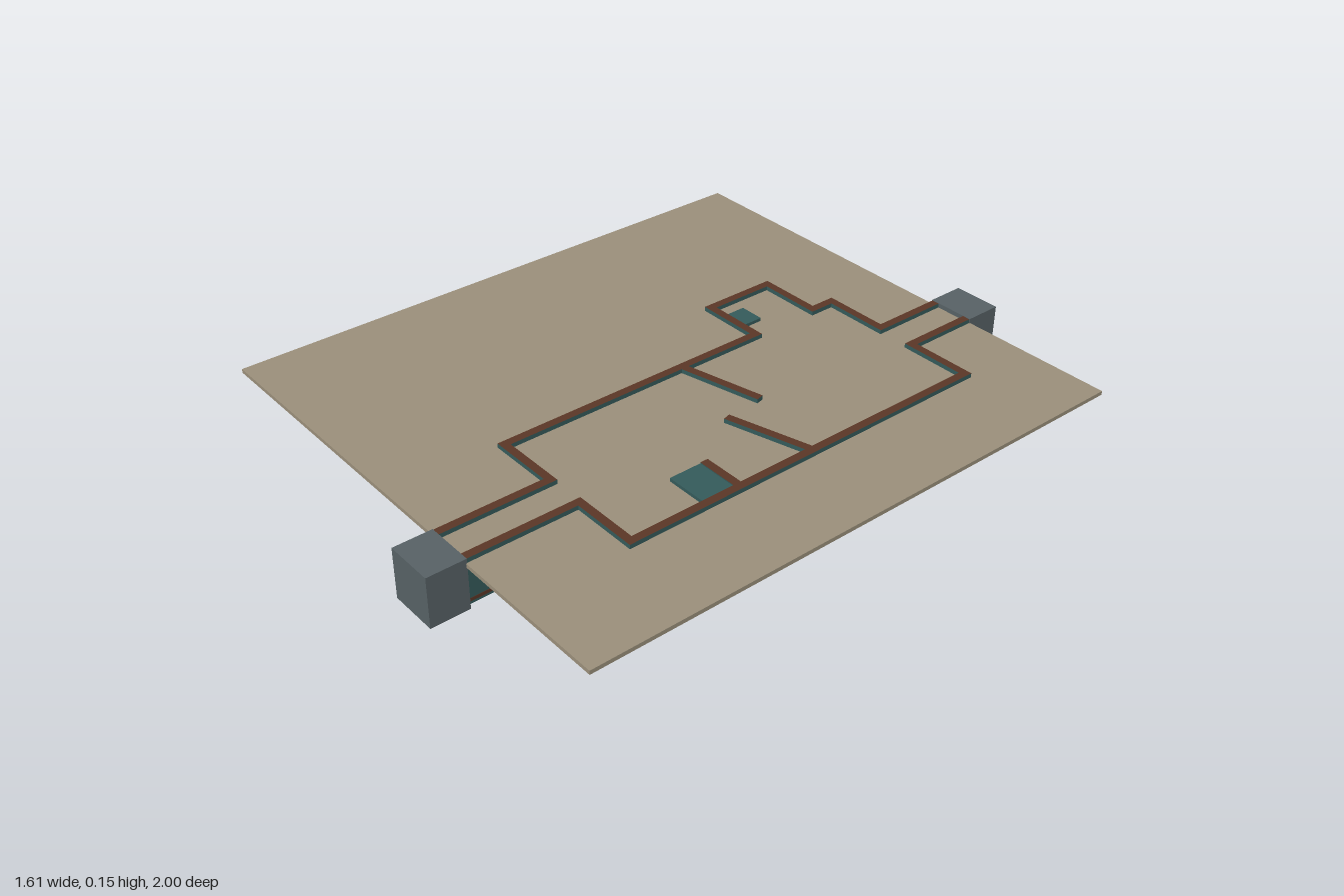
import * as THREE from 'three';

const THICK = 0.025, TOP = 0.153, BASE = 0.014;

function flat(name, color) {
  const m = new THREE.MeshStandardMaterial({ color });
  m.name = name;
  return m;
}

// Mitred outline of constant thickness around an open polyline in plan (x, z)
function ribbon(points) {
  const p = points.map(([x, z]) => new THREE.Vector2(x, z));
  const left = [], right = [];
  p.forEach((pt, i) => {
    const a = pt.clone().sub(p[Math.max(i - 1, 0)]).normalize();
    const b = p[Math.min(i + 1, p.length - 1)].clone().sub(pt).normalize();
    if (i === 0) a.copy(b);
    if (i === p.length - 1) b.copy(a);
    const n1 = new THREE.Vector2(-a.y, a.x), n2 = new THREE.Vector2(-b.y, b.x);
    const miter = n1.clone().add(n2).normalize();
    miter.multiplyScalar(THICK / 2 / miter.dot(n1));
    left.push(pt.clone().add(miter));
    right.unshift(pt.clone().sub(miter));
  });
  return new THREE.Shape([...left, ...right]);
}

export function createModel() {
  const group = new THREE.Group();
  const sand = flat('sand', 0x9a8f7a);
  const brown = flat('brown', 0x5a3626);
  const teal = flat('teal', 0x345a5a);
  const grey = flat('grey', 0x576165);

  function box(name, material, [x0, x1], [y0, y1], [z0, z1], parent = group) {
    const mesh = new THREE.Mesh(new THREE.BoxGeometry(x1 - x0, y1 - y0, z1 - z0), material);
    mesh.position.set((x0 + x1) / 2, (y0 + y1) / 2, (z0 + z1) / 2);
    mesh.name = name;
    parent.add(mesh);
    return mesh;
  }

  // Wall with brown top and bottom and teal sides
  function wall(name, points) {
    const geometry = new THREE.ExtrudeGeometry(ribbon(points), { depth: TOP - BASE, bevelEnabled: false });
    geometry.rotateX(Math.PI / 2).translate(0, TOP, 0);
    const mesh = new THREE.Mesh(geometry, [brown, teal]);
    mesh.name = name;
    group.add(mesh);
  }

  // Ground slab
  box('groundSlab', sand, [-0.807, 0.807], [0.128, 0.14], [-0.887, 0.887]);

  // Room and corridor outline, one wall per side
  wall('rightWall', [
    [0.19, -0.886], [0.19, -0.65], [-0.015, -0.65], [-0.015, -0.572], [-0.215, -0.572],
    [-0.215, -0.345], [-0.015, -0.345], [-0.015, 0.541], [0.19, 0.541], [0.19, 0.886],
  ]);
  wall('leftWall', [
    [0.311, -0.886], [0.311, -0.65], [0.516, -0.65], [0.516, 0.541], [0.311, 0.541], [0.311, 0.886],
  ]);

  // Slanted partitions and short stub
  wall('rightPartition', [[-0.005, -0.066], [0.245, -0.125]]);
  wall('leftPartition', [[0.258, 0.008], [0.508, -0.062]]);
  wall('stubWall', [[0.375, 0.188], [0.508, 0.188]]);

  // Raised blocks inside the room
  box('alcoveBlock', teal, [-0.155, -0.077], [0.065, 0.15], [-0.42, -0.355]);
  box('roomBlock', teal, [0.375, 0.506], [0.065, 0.15], [0.2, 0.302]);

  // Thin skirting on the outer left faces
  box('roomSkirting', brown, [0.528, 0.5295], [0.022, 0.032], [-0.662, 0.553]);
  for (const s of [-1, 1]) {
    const z = s < 0 ? [-0.886, -0.662] : [0.553, 0.886];
    box('corridorSkirting', brown, [0.323, 0.3245], [0.022, 0.032], z);
  }

  // Hollow end housings, open below and towards the corridor
  for (const s of [-1, 1]) {
    const housing = new THREE.Group();
    housing.name = s < 0 ? 'backHousing' : 'frontHousing';
    const span = (a, b) => (s > 0 ? [a, b] : [-b, -a]);
    box('housingRoof', grey, [0.176, 0.325], [0.14, 0.154], span(0.884, 1), housing);
    box('housingEnd', grey, [0.176, 0.325], [0, 0.14], span(0.986, 1), housing);
    box('housingSide', grey, [0.176, 0.19], [0, 0.14], span(0.884, 0.986), housing);
    box('housingSide', grey, [0.311, 0.325], [0, 0.14], span(0.884, 0.986), housing);
    group.add(housing);
  }
  return group;
}
